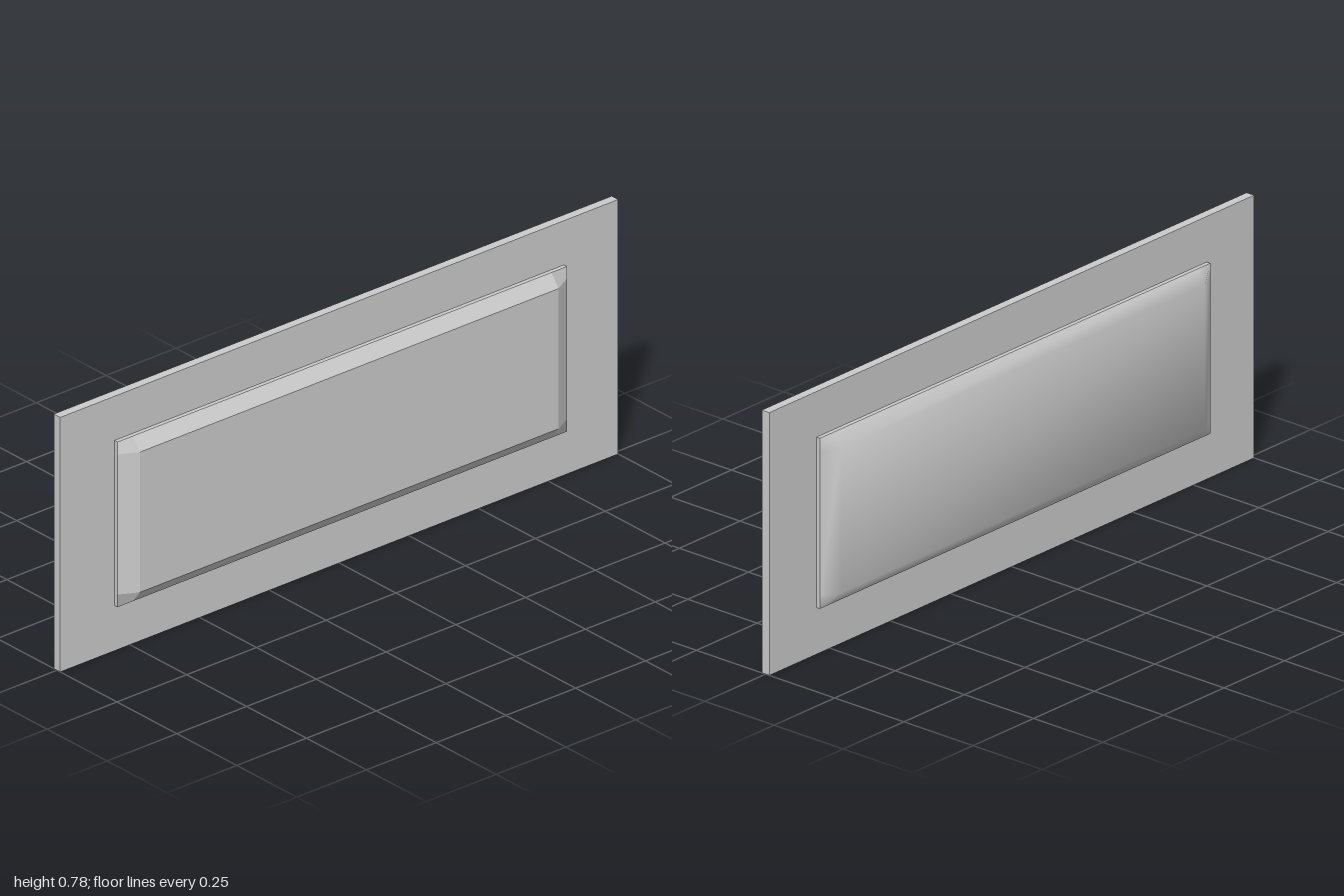
import * as THREE from 'three';

const H = 0.777, CY = 0.39; // plate height, panel centre height
const XS = [-0.805, -0.75, 0.75, 0.805]; // panel outline and bevel lines
const YS = [-0.252, -0.214, 0.214, 0.252];
const Z0 = 0.026, Z1 = 0.055; // start and top of the bevel

const material = new THREE.MeshStandardMaterial({ color: 0xcccccc });

// Bevelled panel face as a 4 x 4 grid; normals per cell, or blended when smooth
function panelFace(smooth) {
  const positions = [], owners = [], sums = new Map();
  const inner = (k) => k === 1 || k === 2;
  const point = (i, j) => new THREE.Vector3(XS[i], YS[j], inner(i) && inner(j) ? Z1 : Z0);
  for (let i = 0; i < 3; i++) {
    for (let j = 0; j < 3; j++) {
      const c = [[i, j], [i + 1, j], [i + 1, j + 1], [i, j + 1]];
      // mitre each corner from its outer to its inner point
      const order = (i === 0) === (j === 0) || (i === 2) === (j === 2)
        ? [0, 1, 2, 0, 2, 3] : [1, 2, 3, 1, 3, 0];
      const split = (i === 2 && j === 0) || (i === 0 && j === 2) ? [1, 2, 3, 1, 3, 0] : order;
      for (let t = 0; t < 6; t += 3) {
        const ids = split.slice(t, t + 3).map((k) => c[k]);
        const p = ids.map(([a, b]) => point(a, b));
        const normal = new THREE.Triangle(...p).getNormal(new THREE.Vector3());
        ids.forEach(([a, b], k) => {
          const key = smooth ? `${a},${b}` : `cell ${i},${j}`;
          if (!sums.has(key)) sums.set(key, new THREE.Vector3());
          sums.get(key).add(normal);
          owners.push(key);
          positions.push(...p[k].toArray());
        });
      }
    }
  }
  const normals = owners.flatMap((key) => sums.get(key).clone().normalize().toArray());
  const geometry = new THREE.BufferGeometry();
  geometry.setAttribute('position', new THREE.Float32BufferAttribute(positions, 3));
  geometry.setAttribute('normal', new THREE.Float32BufferAttribute(normals, 3));
  return geometry;
}

export function createModel() {
  const group = new THREE.Group();
  const add = (name, geometry, y) => {
    const mesh = new THREE.Mesh(geometry, material);
    mesh.name = name;
    mesh.position.y = y;
    group.add(mesh);
    return mesh;
  };

  // Thin flat plate
  add('plate', new THREE.BoxGeometry(2, H, 0.027), H / 2);

  // Straight rim of the raised panel, through both sides of the plate
  add('panelRim', new THREE.BoxGeometry(2 * XS[3], 2 * YS[3], 2 * Z0), CY);

  // Crisp bevel in front, softly shaded bevel behind
  add('frontPanel', panelFace(false), CY);
  add('backPanel', panelFace(true), CY).rotation.y = Math.PI;

  return group;
}
